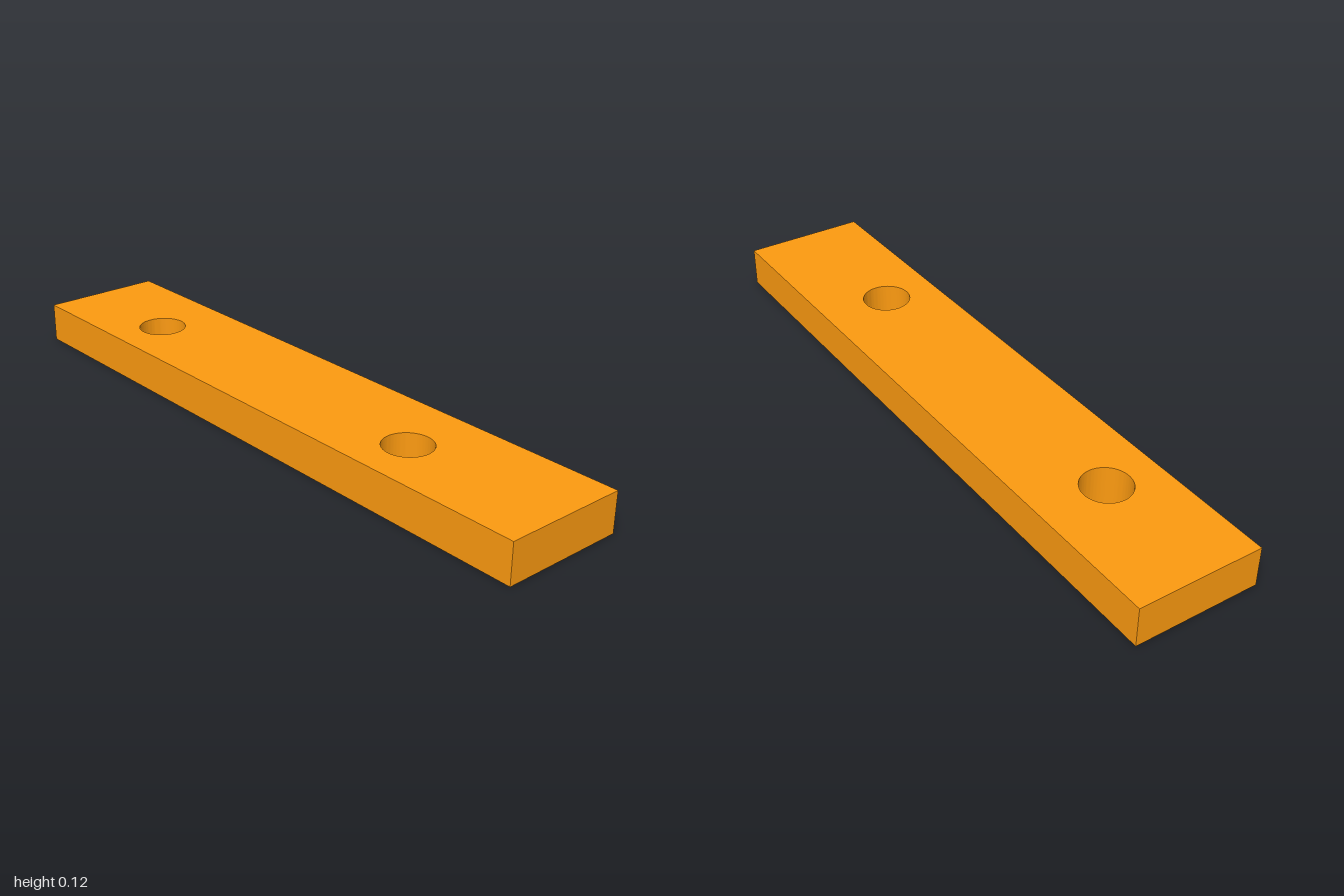
import * as THREE from 'three';
import { toCreasedNormals } from 'three/addons/utils/BufferGeometryUtils.js';

const WIDTH = 0.377, LENGTH = 2, THICKNESS = 0.12;
const HOLE_RADIUS = 0.072, HOLE_X = -0.025, HOLE_Z = [-0.608, 0.497];

export function createModel() {
  const group = new THREE.Group();
  group.name = 'drilledBar';

  // Rectangular outline; shape y becomes -z once laid flat
  const w = WIDTH / 2, l = LENGTH / 2;
  const outline = new THREE.Shape([
    new THREE.Vector2(-w, -l), new THREE.Vector2(w, -l),
    new THREE.Vector2(w, l), new THREE.Vector2(-w, l),
  ]);

  // Two through holes, slightly off the centre line
  for (const z of HOLE_Z) {
    outline.holes.push(new THREE.Path().absarc(HOLE_X, -z, HOLE_RADIUS, 0, Math.PI * 2, true));
  }

  const extruded = new THREE.ExtrudeGeometry(outline, {
    depth: THICKNESS, bevelEnabled: false, curveSegments: 48,
  });
  extruded.rotateX(-Math.PI / 2);

  // Smooth hole walls, sharp outer edges
  const bar = new THREE.Mesh(
    toCreasedNormals(extruded, Math.PI / 6),
    new THREE.MeshStandardMaterial({ color: 0xfc9a10 }),
  );
  bar.name = 'bar';
  group.add(bar);
  return group;
}
